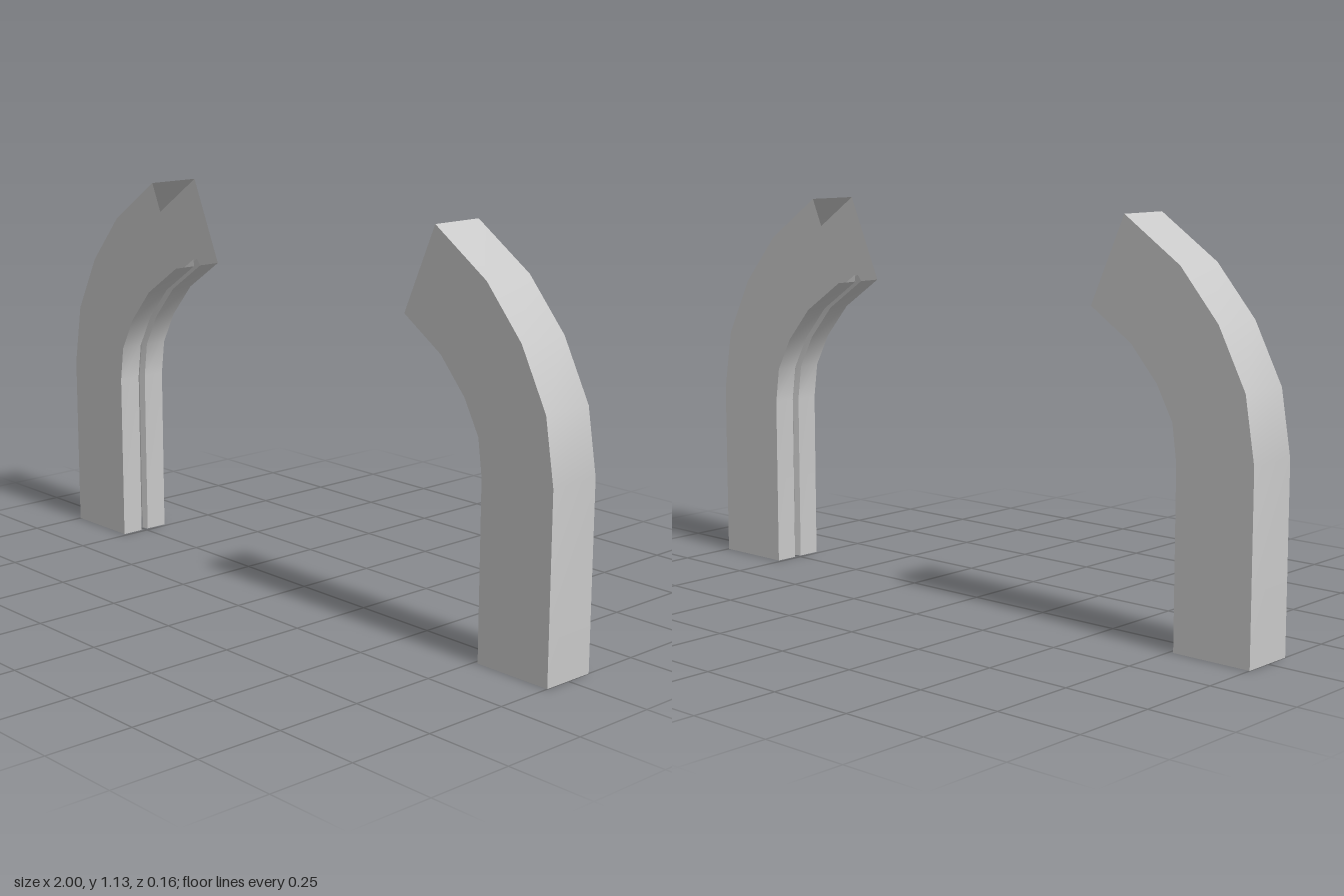
import * as THREE from 'three';

// Matching outer and inner points (x, y) along one arm, from the foot up
const OUTER = [[-1, 0], [-1, 0.52], [-0.97, 0.7], [-0.885, 0.865], [-0.765, 1.005], [-0.585, 1.128]];
const INNER = [[-0.762, 0], [-0.762, 0.5], [-0.748, 0.603], [-0.697, 0.698], [-0.612, 0.795], [-0.478, 0.884]];
const HALF_WIDTH = 0.08;
const HALF_SLOT = 0.012;
const HALF_TIP = 0.006; // the lips lean together towards their tips
const LIP = 0.08; // depth of the slot lips as a share of the arm's thickness

// Open sheet swept along the arm between two section points [t, z],
// where t runs from the outer wall (0) to the inner wall (1)
function wall(name, material, from, to) {
  const positions = [];
  const index = [];
  OUTER.forEach(([ox, oy], i) => {
    const [ix, iy] = INNER[i];
    for (const [t, z] of [from, to]) {
      positions.push(ox + (ix - ox) * t, oy + (iy - oy) * t, z);
    }
    if (i > 0) {
      const a = 2 * i - 2;
      index.push(a, a + 2, a + 1, a + 1, a + 2, a + 3);
    }
  });
  const geometry = new THREE.BufferGeometry();
  geometry.setAttribute('position', new THREE.Float32BufferAttribute(positions, 3));
  geometry.setIndex(index);
  geometry.computeVertexNormals();
  const mesh = new THREE.Mesh(geometry, material);
  mesh.name = name;
  return mesh;
}

export function createModel() {
  const grey = new THREE.MeshStandardMaterial({ color: 0xc8c8c8, side: THREE.DoubleSide });
  grey.name = 'light grey metal';

  // Slotted hollow section, open at both ends
  const w = HALF_WIDTH, g = HALF_SLOT, p = HALF_TIP, d = 1 - LIP;
  const section = [[d, p], [1, g], [1, w], [0, w], [0, -w], [1, -w], [1, -g], [d, -p]];
  const names = ['frontLip', 'frontInnerStrip', 'frontWall', 'outerWall', 'backWall', 'backInnerStrip', 'backLip'];

  // The second arm is the first turned half round
  const model = new THREE.Group();
  model.name = 'archedRails';
  for (const [name, turn] of [['rightArm', 0], ['leftArm', Math.PI]]) {
    const arm = new THREE.Group();
    arm.name = name;
    names.forEach((part, i) => arm.add(wall(part, grey, section[i], section[i + 1])));
    arm.rotation.y = turn;
    model.add(arm);
  }
  return model;
}
